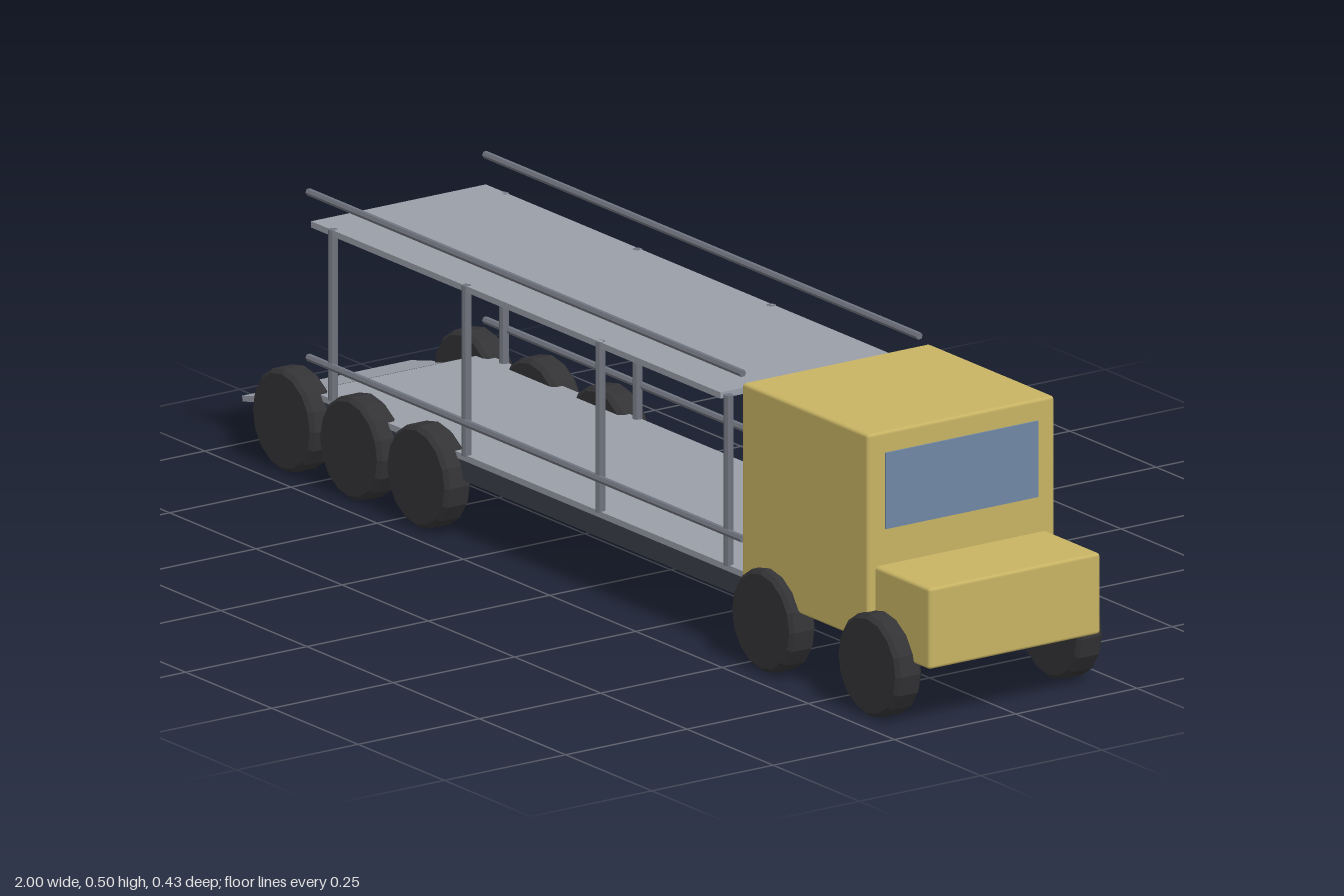
import * as THREE from 'three';
import { RoundedBoxGeometry } from 'three/addons/geometries/RoundedBoxGeometry.js';

const paint = (color, flatShading = false) => new THREE.MeshStandardMaterial({ color, flatShading });

export function createModel() {
  const truck = new THREE.Group();
  truck.name = 'carTransporter';

  const yellow = paint(0xc8b464), glass = paint(0x7088a4), deckGrey = paint(0x9a9ea8);
  const chassisDark = paint(0x3c404a), railGrey = paint(0x70747e, true), rubber = paint(0x333336, true);

  const add = (name, geometry, material, x = 0, y = 0, z = 0) => {
    const mesh = new THREE.Mesh(geometry, material);
    mesh.name = name;
    mesh.position.set(x, y, z);
    truck.add(mesh);
    return mesh;
  };
  // Box given by its limits in x and y and its half width in z
  const slab = (name, x0, x1, y0, y1, halfZ, material, bevel = 0) => {
    const size = [x1 - x0, y1 - y0, halfZ * 2];
    const geometry = bevel ? new RoundedBoxGeometry(...size, 1, bevel) : new THREE.BoxGeometry(...size);
    return add(name, geometry, material, (x0 + x1) / 2, (y0 + y1) / 2, 0);
  };

  // Cab, hood and windshield
  slab('cab', 0.477, 0.842, 0.12, 0.485, 0.193, yellow, 0.006);
  slab('hood', 0.835, 0.998, 0.108, 0.251, 0.177, yellow, 0.006);
  slab('windshield', 0.835, 0.845, 0.314, 0.448, 0.157, glass);

  // Trailer frame and the two decks
  slab('chassis', -0.82, 0.48, 0.1, 0.136, 0.178, chassisDark);
  slab('lowerDeck', -0.79, 0.48, 0.136, 0.147, 0.18, deckGrey);
  slab('upperDeck', -0.79, 0.397, 0.434, 0.445, 0.18, deckGrey);

  // Loading ramp sloping down behind the frame
  const rampStart = new THREE.Vector2(-0.998, 0.079), rampEnd = new THREE.Vector2(-0.815, 0.122);
  const slope = rampEnd.clone().sub(rampStart);
  const middle = rampStart.clone().add(rampEnd).multiplyScalar(0.5);
  const ramp = add('ramp', new THREE.BoxGeometry(slope.length(), 0.01, 0.348), deckGrey, middle.x, middle.y, 0);
  ramp.rotation.z = slope.angle();

  // Tyre profile with chamfered shoulders, turned on its side to face z
  const radius = 0.0895, half = 0.0265, chamfer = 0.007;
  const profile = [
    [0, -half], [radius - chamfer, -half], [radius, -half + chamfer],
    [radius, half - chamfer], [radius - chamfer, half], [0, half],
  ].map(([r, h]) => new THREE.Vector2(r, h));
  const wheelGeometry = new THREE.LatheGeometry(profile, 16).rotateX(Math.PI / 2);

  const postGeometry = new THREE.CylinderGeometry(0.0085, 0.0085, 0.3, 8);
  const railGeometry = new THREE.CylinderGeometry(0.0065, 0.0065, 1.26, 6).rotateZ(Math.PI / 2);

  for (const side of [1, -1]) {
    const label = side > 0 ? 'Front' : 'Back';
    for (const x of [-0.83, -0.635, -0.44, 0.56, 0.868]) {
      add('wheel' + label, wheelGeometry, rubber, x, radius, side * 0.1865);
    }
    for (const x of [-0.732, -0.345, 0.043, 0.415]) {
      add('post' + label, postGeometry, railGrey, x, 0.295, side * 0.176);
    }
    for (const y of [0.205, 0.496]) {
      add('rail' + label, railGeometry, railGrey, -0.165, y, side * 0.182);
    }
  }
  return truck;
}
